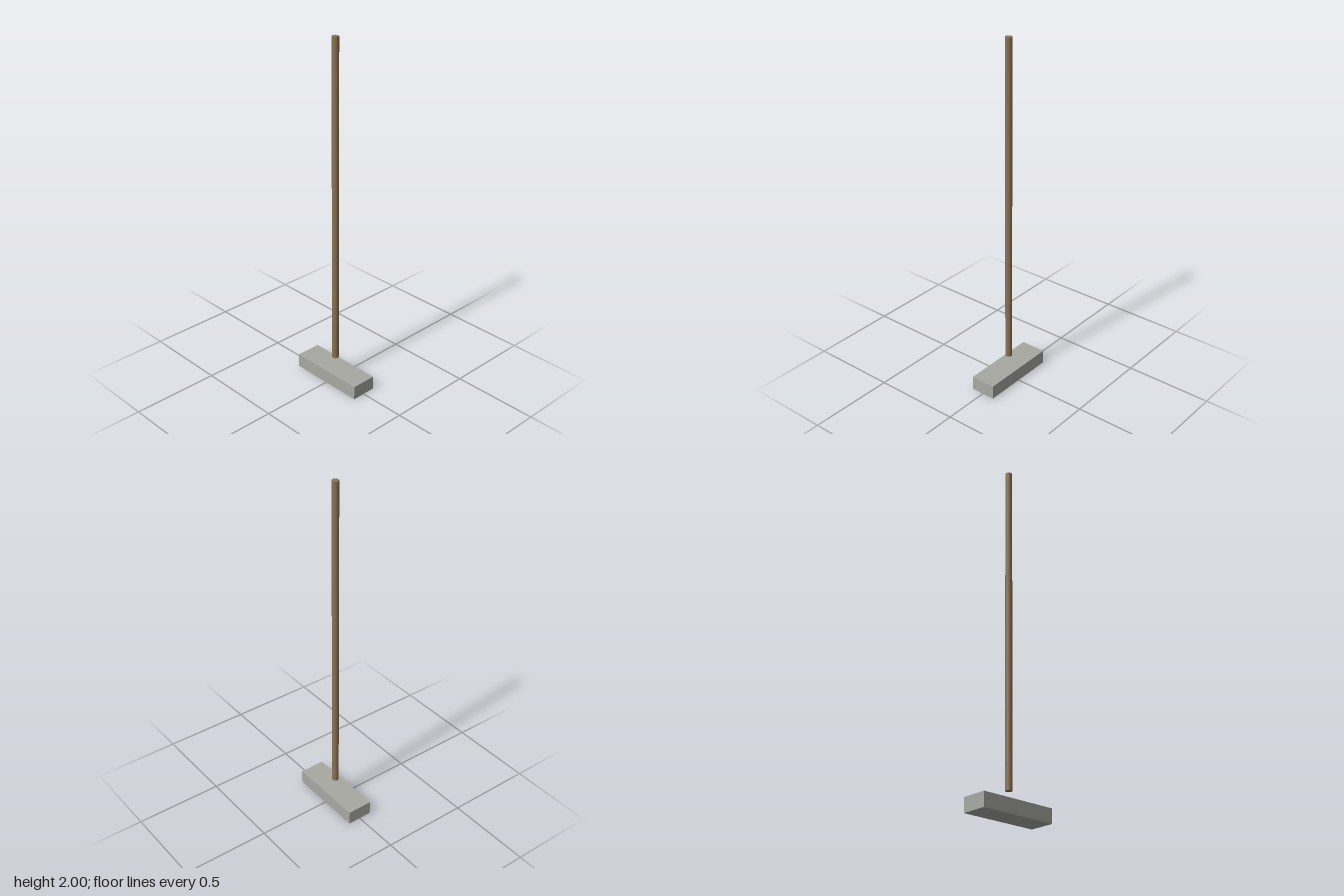
import * as THREE from 'three';

export function createModel() {
  const group = new THREE.Group();

  const add = (name, geometry, color, y) => {
    const mesh = new THREE.Mesh(geometry, new THREE.MeshStandardMaterial({ color }));
    mesh.name = name;
    mesh.position.y = y;
    group.add(mesh);
  };

  // Flat rectangular head resting on the floor
  const headHeight = 0.08;
  add('head', new THREE.BoxGeometry(0.453, headHeight, 0.146), 0xa8a8a3, headHeight / 2);

  // Long round handle, hovering just above the head
  const bottom = 0.14, top = 2;
  add('handle', new THREE.CylinderGeometry(0.019, 0.019, top - bottom, 16), 0x8b7355, (top + bottom) / 2);

  return group;
}
